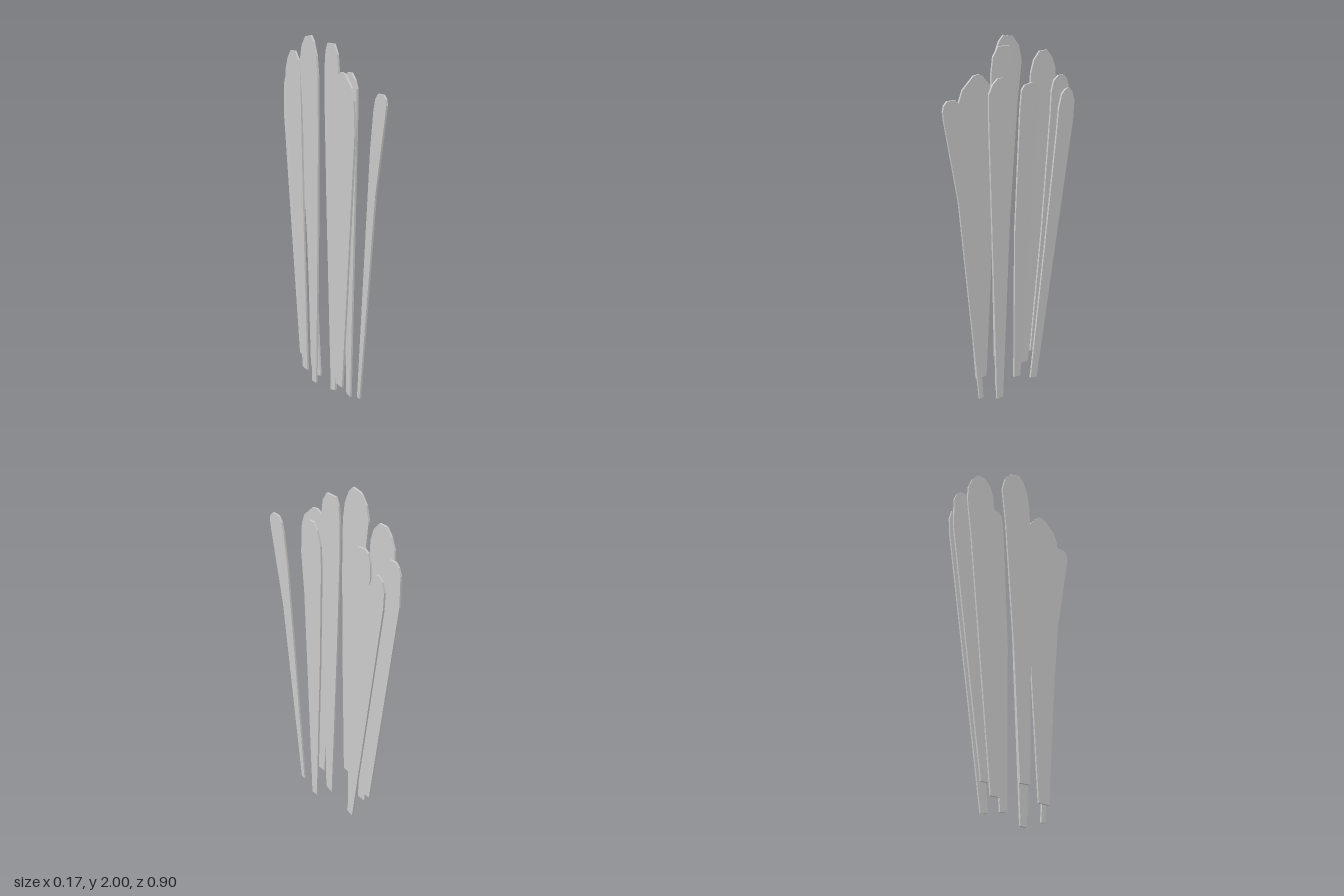
import * as THREE from 'three';

const THICK = 0.011;
const material = new THREE.MeshStandardMaterial({ color: 0xcccccc, flatShading: true });

// A thin flat slat: outline in [z, y], leaning from xBottom (y = 0) to xTop (y = 1.8)
function slat(name, xBottom, xTop, outline) {
  const shape = new THREE.Shape(outline.map(([z, y]) => new THREE.Vector2(-z, y)));
  const geometry = new THREE.ExtrudeGeometry(shape, { depth: THICK, bevelEnabled: false });
  geometry.translate(0, 0, -THICK / 2).rotateY(Math.PI / 2);
  const p = geometry.attributes.position;
  for (let i = 0; i < p.count; i++) {
    p.setX(i, p.getX(i) + THREE.MathUtils.lerp(xBottom, xTop, p.getY(i) / 1.8));
  }
  geometry.computeVertexNormals();
  const mesh = new THREE.Mesh(geometry, material);
  mesh.name = name;
  return mesh;
}

export function createModel() {
  const group = new THREE.Group();
  group.name = 'slatFan';

  // Each outline runs from the foot, up the back edge, over the rounded tip and down the front edge
  group.add(
    slat('frontSlat', 0.069, 0.078, [
      [0.243, 0.04], [0.217, 0.04], [0.31, 1.45], [0.335, 1.65], [0.35, 1.71], [0.375, 1.74],
      [0.425, 1.74], [0.445, 1.72], [0.452, 1.69], [0.445, 1.64], [0.365, 1.21]]),
    slat('broadFrontSlat', -0.018, -0.012, [
      [0.2, 0.11], [0.13, 0.11], [0.05, 1.53], [0.062, 1.7], [0.1, 1.77], [0.145, 1.82],
      [0.165, 1.83], [0.2, 1.825], [0.27, 1.76], [0.293, 1.7], [0.305, 1.53]]),
    slat('outerSlat', 0.078, 0.078, [
      [0.128, 0], [0.085, 0.005], [0.04, 1.0], [0.022, 1.58], [0.026, 1.7], [0.05, 1.78],
      [0.08, 1.815], [0.115, 1.815], [0.15, 1.785], [0.172, 1.74], [0.172, 1.6], [0.155, 1.0]]),
    slat('middleSlat', 0.008, 0.008, [
      [0.08, 0.04], [0.03, 0.02], [-0.02, 1.1], [-0.04, 1.65], [-0.04, 1.83], [-0.03, 1.92],
      [-0.01, 1.96], [0.06, 1.96], [0.092, 1.91], [0.104, 1.82], [0.104, 1.65], [0.095, 0.9]]),
    slat('tallSlat', -0.081, -0.075, [
      [0.022, 0.17], [-0.042, 0.17], [-0.08, 0.92], [-0.135, 1.65], [-0.16, 1.86], [-0.14, 1.94],
      [-0.1, 1.99], [-0.04, 2], [-0.01, 1.97], [0.02, 1.9], [0.035, 1.8], [0.04, 1.5], [0.035, 0.9]]),
    slat('slimSlat', -0.028, -0.022, [
      [-0.08, 0.025], [-0.125, 0.02], [-0.222, 1.42], [-0.238, 1.6], [-0.235, 1.68],
      [-0.22, 1.73], [-0.19, 1.745], [-0.14, 1.735], [-0.12, 1.71], [-0.11, 1.6], [-0.08, 0.92]]),
    slat('broadBackSlat', -0.05, -0.05, [
      [-0.145, 0.085], [-0.2, 0.085], [-0.35, 1.5], [-0.38, 1.72], [-0.375, 1.8], [-0.35, 1.86],
      [-0.315, 1.9], [-0.265, 1.9], [-0.225, 1.855], [-0.205, 1.79], [-0.2, 1.7], [-0.19, 1.3]]),
    slat('backSlat', -0.042, -0.024, [
      [-0.21, 0.15], [-0.252, 0.15], [-0.45, 1.53], [-0.45, 1.7], [-0.435, 1.74], [-0.415, 1.76],
      [-0.375, 1.76], [-0.345, 1.735], [-0.33, 1.68], [-0.325, 1.55], [-0.28, 0.9]]),
    slat('outerBackSlat', 0.037, 0.055, [
      [-0.15, 0.025], [-0.195, 0.015], [-0.42, 1.53], [-0.425, 1.63], [-0.41, 1.68], [-0.385, 1.705],
      [-0.36, 1.7], [-0.335, 1.675], [-0.315, 1.6], [-0.305, 1.47], [-0.24, 0.85]]),
  );
  return group;
}
